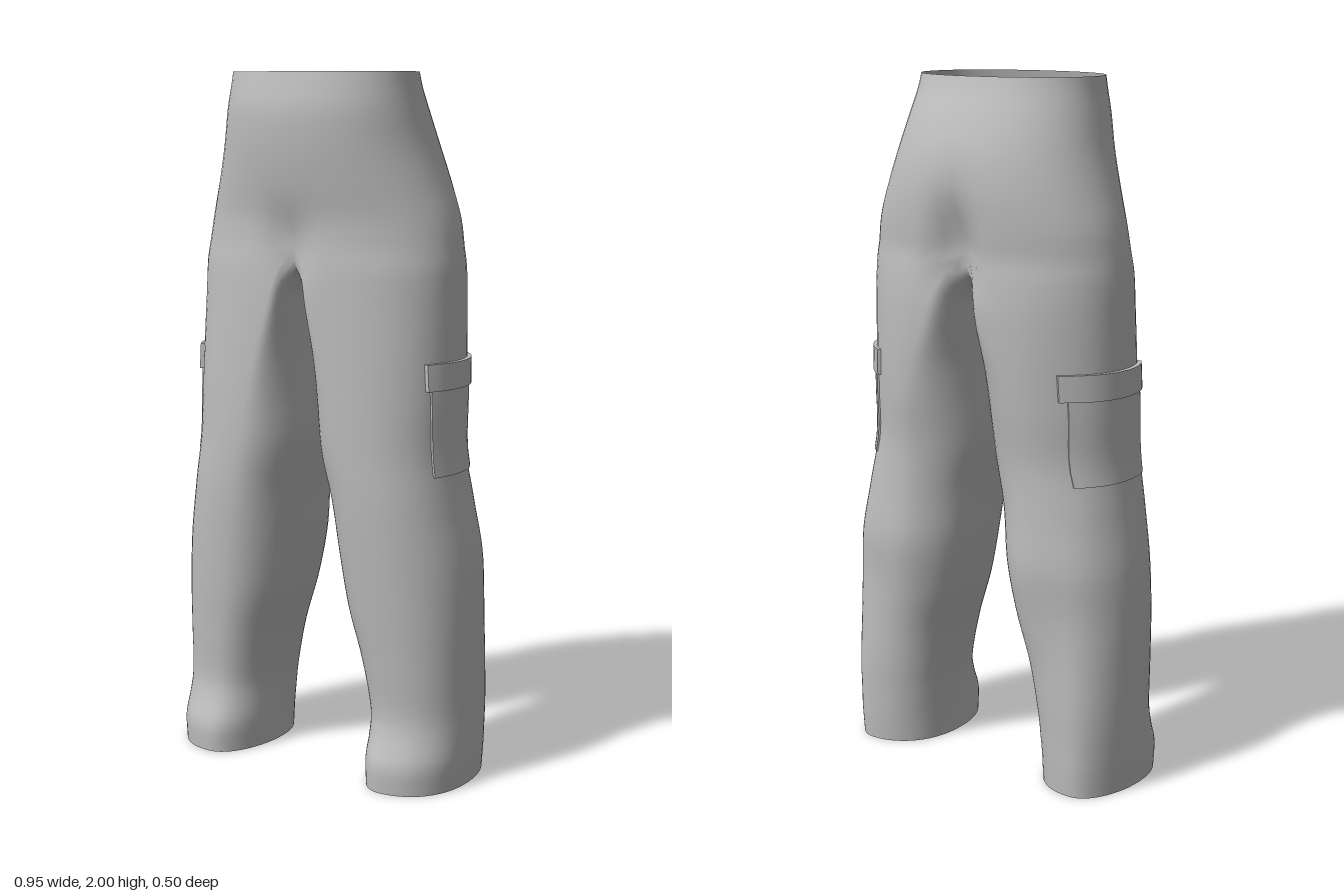
import * as THREE from 'three';
import { mergeVertices, toCreasedNormals } from 'three/addons/utils/BufferGeometryUtils.js';

// Cross-sections of one half: height, inner x, outer x, front z, back z
const SECTIONS = [
  [2.00, 0, 0.28, 0.23, -0.16],
  [1.96, 0, 0.285, 0.24, -0.175],
  [1.90, 0, 0.297, 0.253, -0.205],
  [1.80, 0, 0.32, 0.251, -0.243],
  [1.70, 0, 0.352, 0.238, -0.258],
  [1.60, 0, 0.385, 0.222, -0.256],
  [1.52, 0, 0.40, 0.223, -0.25],
  [1.47, 0.02, 0.407, 0.224, -0.25],
  [1.36, 0.022, 0.41, 0.225, -0.25],
  [1.10, 0.023, 0.413, 0.226, -0.233],
  [0.95, 0.028, 0.414, 0.225, -0.22],
  [0.80, 0.06, 0.437, 0.22, -0.229],
  [0.65, 0.078, 0.463, 0.21, -0.24],
  [0.50, 0.105, 0.473, 0.198, -0.224],
  [0.35, 0.15, 0.474, 0.184, -0.208],
  [0.20, 0.18, 0.474, 0.175, -0.2],
  [0.13, 0.185, 0.474, 0.195, -0.198],
  [0.08, 0.187, 0.474, 0.217, -0.197],
  [0.00, 0.19, 0.47, 0.216, -0.192],
];
const CROTCH = 1.52, KNEE = 0.85, POWER = 0.94;
const { clamp, smoothstep } = THREE.MathUtils;
const bend = (v, p) => Math.sign(v) * Math.abs(v) ** p;
const bump = (d, width) => Math.exp(-((d / width) ** 2));

// Smooth interpolation of the sections at height y
function section(y) {
  const S = SECTIONS, last = S.length - 1;
  let i = 0;
  while (i < last - 1 && y < S[i + 1][0]) i++;
  const h = S[i + 1][0] - S[i][0], t = (y - S[i][0]) / h;
  const slope = (k, c) => {
    const a = S[Math.max(k - 1, 0)], b = S[Math.min(k + 1, last)];
    return (b[c] - a[c]) / (b[0] - a[0]);
  };
  const [, inner, outer, front, back] = S[i].map((v, c) =>
    (2 * t ** 3 - 3 * t ** 2 + 1) * v + (t ** 3 - 2 * t ** 2 + t) * h * slope(i, c) +
    (3 * t ** 2 - 2 * t ** 3) * S[i + 1][c] + (t ** 3 - t ** 2) * h * slope(i + 1, c));
  return { inner: y >= CROTCH ? 0 : Math.max(0, inner), outer, cz: (front + back) / 2, rz: (front - back) / 2 };
}

// Cloth point: u runs front, outside, back, then along the inseam
function clothPoint(y, u) {
  const { inner, outer, cz, rz } = section(y);
  const sx = bend(Math.sin(u), POWER), dz = rz * bend(Math.cos(u), POWER);
  // half-torso outline changes to a closed leg outline between crotch and knee
  const w = clamp((y - KNEE) / (CROTCH - KNEE), 0, 1) ** 1.4;
  const torsoX = inner + (outer - inner) * Math.max(0, sx);
  const legX = (inner + outer) / 2 + (outer - inner) / 2 * sx - 0.14 * dz * (1 - Math.abs(sx));
  const x = w * torsoX + (1 - w) * legX;
  // centre cleft, deeper at the back, and a flatter outer back above the shin
  const cleft = dz > 0 ? 0.14 * bump(y - CROTCH, 0.09) : 0.26 * bump(y - CROTCH, 0.14);
  const flat = dz < 0 ? 0.13 * (1 - w) * smoothstep(x, 0.18, 0.36) * smoothstep(y, 0.2, 0.6) : 0;
  const z = (cz + dz) * (1 - cleft * bump(x, 0.06)) * (1 - flat);
  // the inseam hangs below the torso edge to form the crotch saddle
  const fade = clamp((y - 1.2) / (CROTCH - 1.2), 0, 1);
  const sag = u > Math.PI ? 0.1 * Math.sqrt(Math.abs(Math.sin(u))) * fade : 0;
  return [x < 1e-6 ? 0 : x, y - sag, z];
}

// Grid of points as triangles; side -1 mirrors it across x
function addGrid(out, rows, cols, side, point) {
  const base = out.pos.length / 3;
  for (let r = 0; r <= rows; r++) for (let c = 0; c <= cols; c++) {
    const [x, y, z] = point(r, c);
    out.pos.push(side * x, y, z);
  }
  for (let r = 0; r < rows; r++) for (let c = 0; c < cols; c++) {
    const a = base + r * (cols + 1) + c, b = a + 1, d = a + cols + 1, e = d + 1;
    if (side > 0) out.idx.push(a, d, b, b, d, e);
    else out.idx.push(a, b, d, b, e, d);
  }
}

function toGeometry({ pos, idx }) {
  const g = new THREE.BufferGeometry();
  g.setAttribute('position', new THREE.Float32BufferAttribute(pos, 3));
  g.setIndex(idx);
  const merged = mergeVertices(g, 1e-5);
  merged.computeVertexNormals();
  return merged;
}

// Thin plate following the outside of the leg, with its rim turned in to the cloth
function plateGeometry(side, y0, y1, zFront, zBack, lift) {
  const out = { pos: [], idx: [] }, rows = 8, cols = 16;
  addGrid(out, rows, cols, side, (r, c) => {
    const rim = r === 0 || c === 0 || r === rows || c === cols;
    const y = y1 + (y0 - y1) * clamp((r - 1) / (rows - 2), 0, 1);
    const z = zFront + (zBack - zFront) * clamp((c - 1) / (cols - 2), 0, 1);
    const { cz, rz } = section(y);
    const u = Math.acos(clamp(bend((z - cz) / rz, 1 / POWER), -1, 1));
    const p = clothPoint(y, u), d = rim ? -0.003 : lift;
    return [p[0] + d * Math.sin(u), p[1], p[2] + d * Math.cos(u) * 0.5];
  });
  return toCreasedNormals(toGeometry(out), 0.7);
}

export function createModel() {
  const cloth = new THREE.MeshStandardMaterial({ color: 0xbcbcbc, side: THREE.DoubleSide });
  cloth.name = 'grey cloth';
  const model = new THREE.Group();
  model.name = 'trousers';
  const add = (name, geometry) => {
    const mesh = new THREE.Mesh(geometry, cloth);
    mesh.name = name;
    model.add(mesh);
  };

  // Hips and both legs as one continuous open shell
  const shell = { pos: [], idx: [] }, half = 28, hipRows = 18, legRows = 60;
  for (const side of [1, -1]) {
    addGrid(shell, hipRows, half, side, (r, c) =>
      clothPoint(2 - (2 - CROTCH) * r / hipRows, Math.PI * c / half));
    addGrid(shell, legRows, half * 2, side, (r, c) =>
      clothPoint(CROTCH * (1 - r / legRows), Math.PI * (c % (half * 2)) / half));
  }
  add('hipsAndLegs', toGeometry(shell));

  // Side pockets with flaps
  for (const [side, label] of [[1, 'left'], [-1, 'right']]) {
    add(label + 'Pocket', plateGeometry(side, 0.9, 1.15, 0.1, -0.185, 0.007));
    add(label + 'PocketFlap', plateGeometry(side, 1.14, 1.215, 0.112, -0.2, 0.014));
  }
  return model;
}
